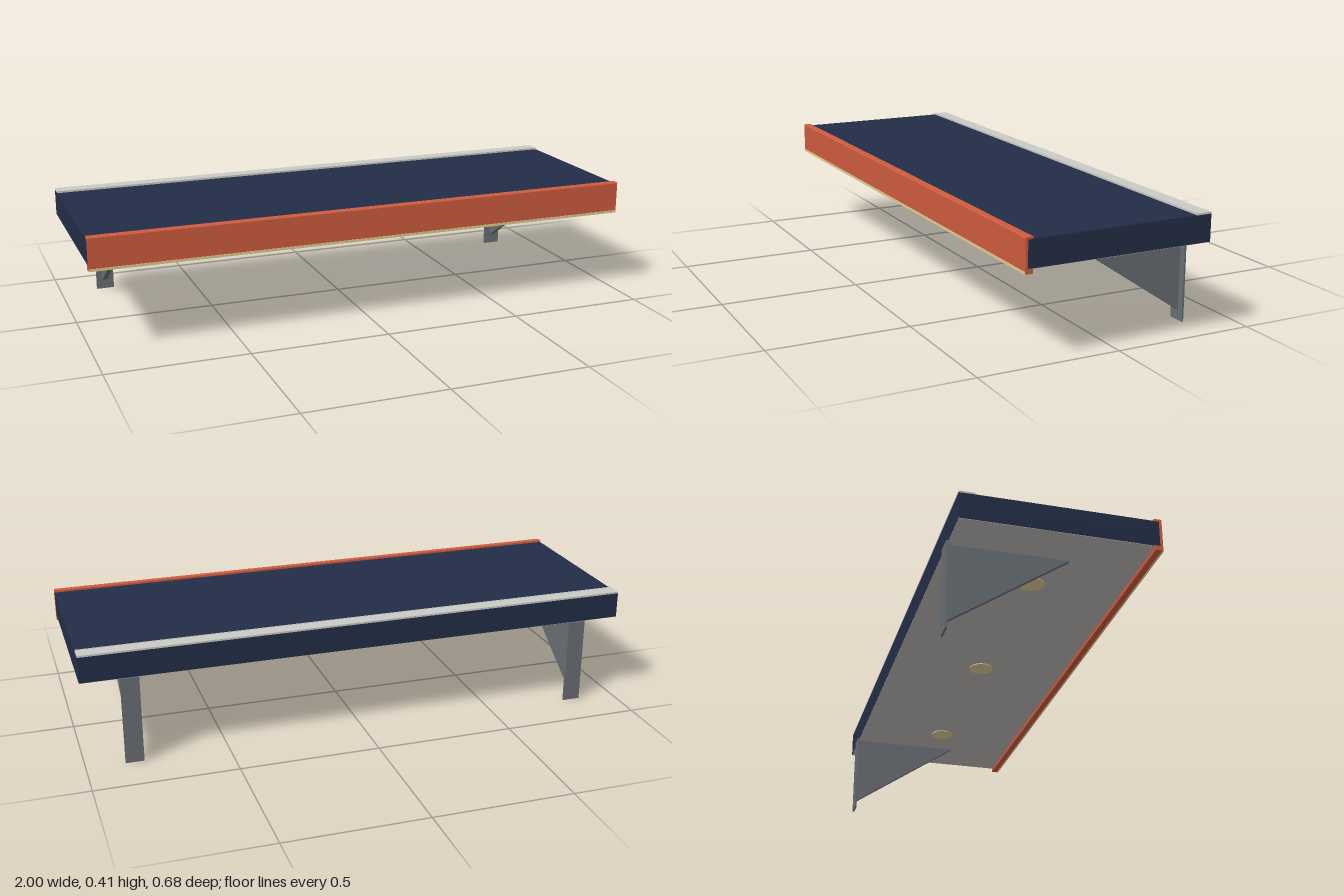
import * as THREE from 'three';

const mat = (name, color) => {
  const m = new THREE.MeshStandardMaterial({ color });
  m.name = name;
  return m;
};

export function createModel() {
  const group = new THREE.Group();
  const navy = mat('navy canopy', 0x222d47);
  const orange = mat('orange fascia', 0xcd5b3e);
  const grey = mat('bracket grey', 0x686e74);
  const pale = mat('pale flashing', 0xc9c9c5);
  const soffitGrey = mat('soffit grey', 0xbbb8b4);
  const warm = mat('warm light', 0xe0cb90);

  const add = (name, geometry, material, parent = group) => {
    const mesh = new THREE.Mesh(geometry, material);
    mesh.name = name;
    parent.add(mesh);
    return mesh;
  };
  // Box given by its lower and upper limits on y and z
  const slab = (name, material, width, y0, y1, z0, z1, parent) => {
    const mesh = add(name, new THREE.BoxGeometry(width, y1 - y0, z1 - z0), material, parent);
    mesh.position.set(0, (y0 + y1) / 2, (z0 + z1) / 2);
    return mesh;
  };
  // Closed outline of [z, y] points extruded along x, centred on x = 0
  const profile = (points, width) => {
    const shape = new THREE.Shape(points.map(([z, y]) => new THREE.Vector2(-z, y)));
    const geo = new THREE.ExtrudeGeometry(shape, { depth: width, bevelEnabled: false });
    return geo.translate(0, 0, -width / 2).rotateY(Math.PI / 2);
  };

  // Canopy slab and its underside panel
  slab('canopy', navy, 1.998, 0.315, 0.408, -0.334, 0.332);
  slab('soffit', soffitGrey, 1.996, 0.3135, 0.3155, -0.333, 0.315);

  // C-shaped front fascia wrapping the canopy edge, corners slightly cut
  add('fascia', profile([
    [0.314, 0.299], [0.337, 0.299], [0.34, 0.302], [0.34, 0.412], [0.337, 0.415],
    [0.314, 0.415], [0.314, 0.407], [0.331, 0.407], [0.331, 0.316], [0.314, 0.316],
  ], 2), orange);
  slab('fasciaLightStrip', warm, 1.998, 0.298, 0.307, 0.336, 0.3415);

  // Wall flashing along the back edge
  slab('flashing', pale, 1.998, 0.4075, 0.414, -0.3345, -0.284);
  slab('flashingLip', pale, 1.998, 0.4075, 0.415, -0.284, -0.28);

  // Wall brackets: back plate and triangular gusset
  for (const [side, x] of [['left', 0.832], ['right', -0.832]]) {
    const bracket = new THREE.Group();
    bracket.name = side + 'Bracket';
    bracket.position.x = x;
    slab('wallPlate', grey, 0.065, 0, 0.315, -0.341, -0.3342, bracket);
    add('gusset', profile([[0.08, 0.315], [-0.3345, 0.315], [-0.3345, 0.035]], 0.018), grey, bracket);
    group.add(bracket);
  }

  // Recessed lights under the canopy
  for (const x of [-0.667, 0, 0.667]) {
    const light = add('downlight', new THREE.CylinderGeometry(0.044, 0.044, 0.004, 24), warm);
    light.position.set(x, 0.312, 0);
  }
  return group;
}
